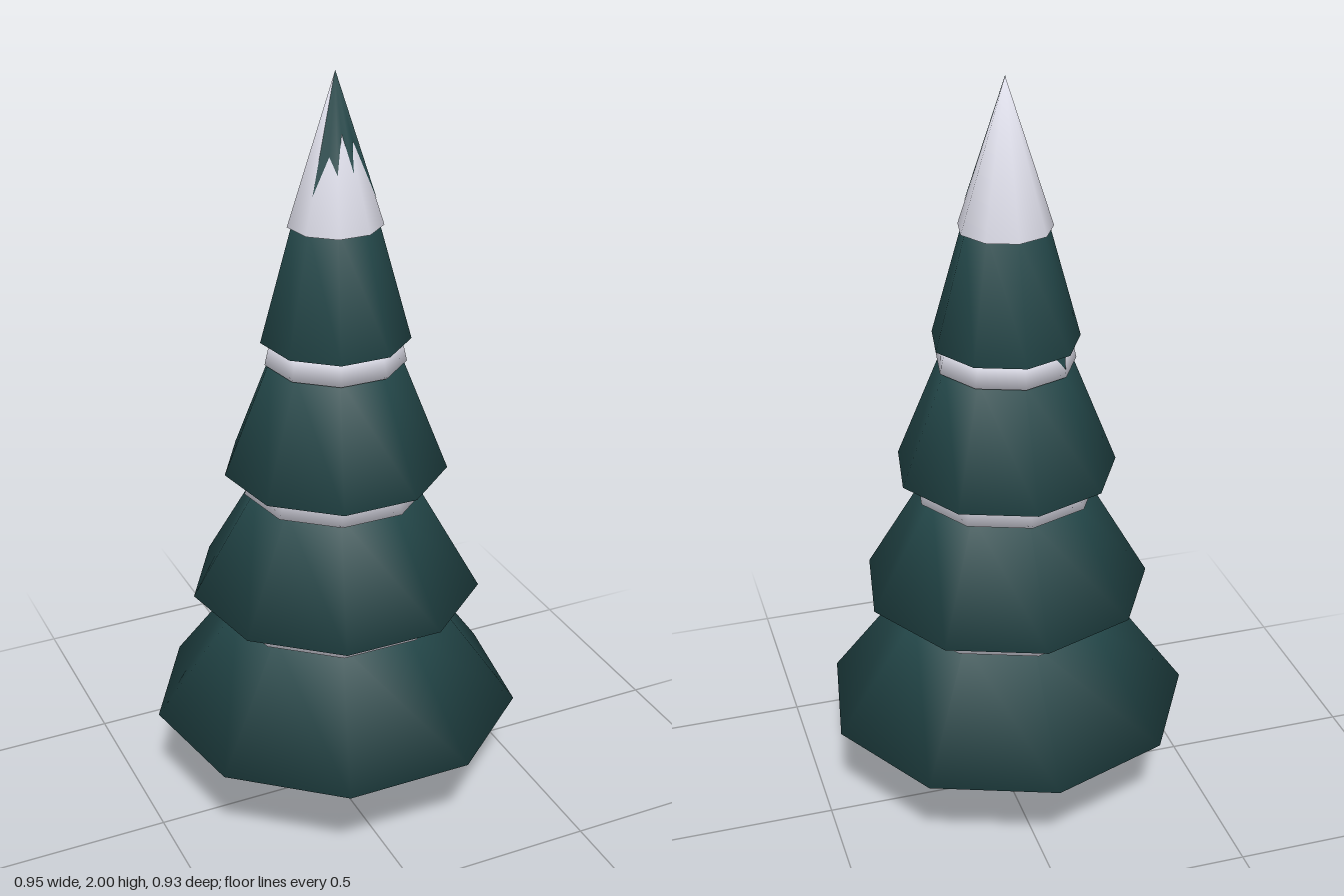
import * as THREE from 'three';
import { mergeVertices } from 'three/addons/utils/BufferGeometryUtils.js';

const SIDES = 9;
const AXIS_Z = 0.015; // the tree's axis sits slightly forward

const paint = (color) => new THREE.MeshStandardMaterial({ color });
const needles = paint(0x24484a);
const snow = paint(0xe6e6f2);
const bark = paint(0x49301f);

// Closed tapered solid with normals shared across walls and caps
function taper(name, material, r0, y0, r1, y1, sides = SIDES) {
  const profile = [[0, y0], [r0, y0], [r1, y1]];
  if (r1 > 0) profile.push([0, y1]);
  let geo = new THREE.LatheGeometry(profile.map((p) => new THREE.Vector2(...p)), sides, Math.PI);
  geo.deleteAttribute('normal');
  geo.deleteAttribute('uv');
  geo = mergeVertices(geo, 1e-5);
  geo.computeVertexNormals();
  const mesh = new THREE.Mesh(geo, material);
  mesh.name = name;
  return mesh;
}

// Fan of triangles lying on a nine-sided wall; points are [degrees from front, y]
function wallPatch(name, material, radiusAt, top, points) {
  const place = ([deg, y]) => {
    const a = THREE.MathUtils.degToRad(deg);
    const half = Math.PI / SIDES;
    const fromFacet = a - Math.round(a / (2 * half)) * 2 * half;
    const r = radiusAt(y) * 1.015 * Math.cos(half) / Math.cos(fromFacet);
    return [r * Math.sin(a), y, r * Math.cos(a)];
  };
  const verts = [];
  for (let i = 0; i < points.length - 1; i++) {
    verts.push(...place(top), ...place(points[i]), ...place(points[i + 1]));
  }
  let geo = new THREE.BufferGeometry();
  geo.setAttribute('position', new THREE.Float32BufferAttribute(verts, 3));
  geo = mergeVertices(geo, 1e-5);
  geo.computeVertexNormals();
  const mesh = new THREE.Mesh(geo, material);
  mesh.material.side = THREE.DoubleSide;
  mesh.name = name;
  return mesh;
}

export function createModel() {
  const tree = new THREE.Group();
  tree.name = 'snowyFirTree';

  tree.add(taper('trunk', bark, 0.063, 0, 0.063, 0.4, 12));

  // Branch tiers: rim radius, rim y, top radius, top y
  [
    [0.482, 0.3, 0.262, 0.6],
    [0.375, 0.65, 0.207, 0.94],
    [0.285, 0.99, 0.165, 1.29],
    [0.188, 1.34, 0.105, 1.64],
  ].forEach((t, i) => tree.add(taper(`branchTier${i + 1}`, needles, ...t)));

  // Snow collars tucked under the tiers
  [
    [0.294, 0.59, 0.262, 0.652],
    [0.236, 0.93, 0.205, 0.992],
    [0.178, 1.28, 0.164, 1.342],
  ].forEach((s, i) => tree.add(taper(`snowCollar${i + 1}`, snow, ...s)));

  // Snow cap with a jagged bare patch at the front
  tree.add(taper('snowCap', snow, 0.118, 1.63, 0, 1.998));
  tree.add(wallPatch('barePatch', needles, (y) => 0.118 * (2 - y) / 0.37, [0, 2], [
    [-60, 1.72], [-38, 1.81], [-20, 1.77], [-4, 1.86], [13, 1.77], [20, 1.82], [32, 1.84], [60, 1.69],
  ]));

  // Small twig tip hanging over the upper collar at the back
  tree.add(wallPatch('twigTip', needles, (y) => 0.178 - 0.226 * (y - 1.28), [-140, 1.345], [
    [-150, 1.343], [-140, 1.3], [-130, 1.343],
  ]));

  for (const part of tree.children) part.position.z = AXIS_Z;
  return tree;
}
